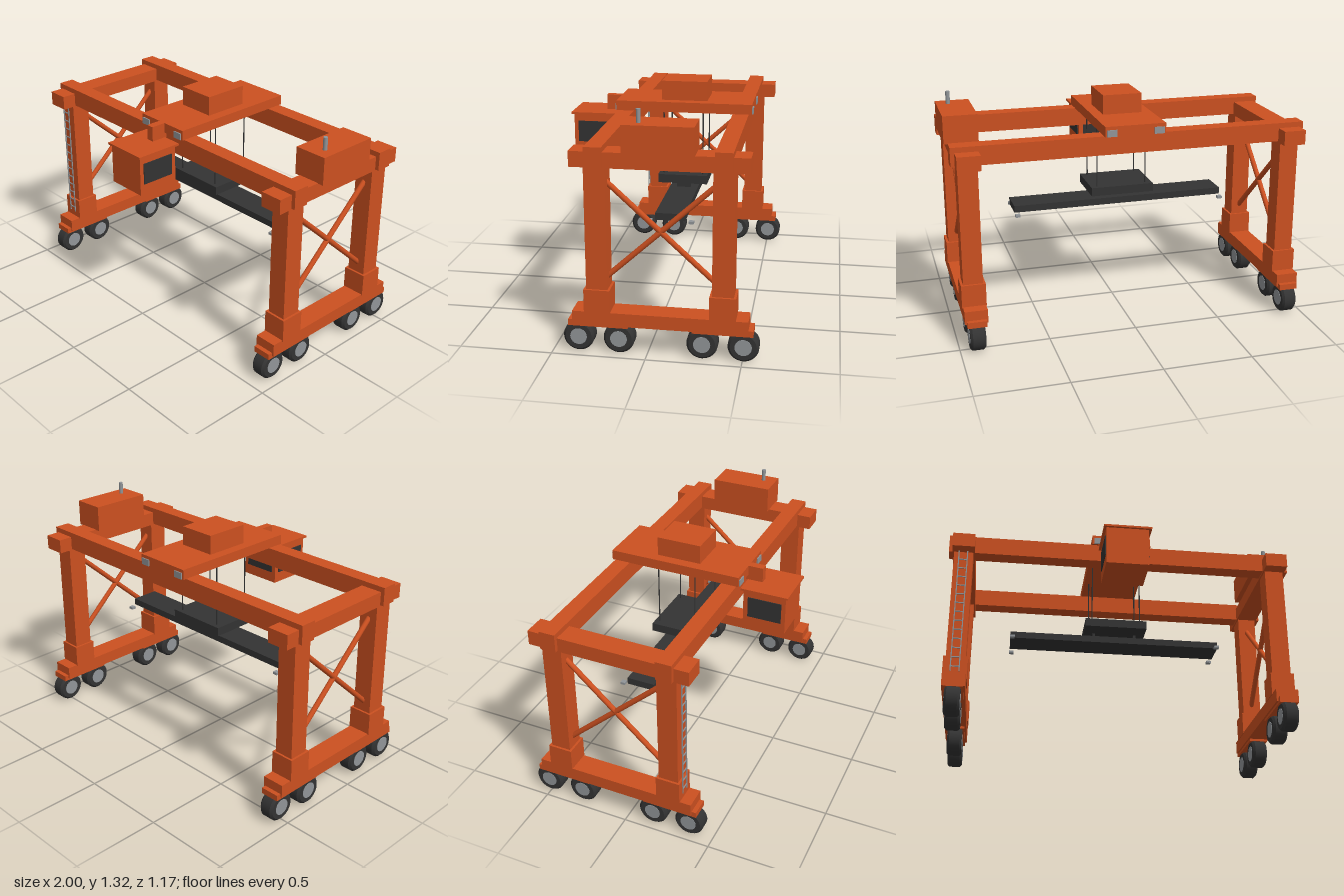
import * as THREE from 'three';

export function createModel() {
  const mat = (name, color) => {
    const m = new THREE.MeshStandardMaterial({ color });
    m.name = name;
    return m;
  };
  const orange = mat('craneOrange', 0xcc5020);
  const dark = mat('darkRubberAndSteel', 0x333333);
  const grey = mat('lightSteel', 0x919598);

  const model = new THREE.Group();
  model.name = 'gantryCrane';
  const XC = -0.005, ZC = -0.07; // centre of the portal frame

  const add = (parent, name, geo, material, x = 0, y = 0, z = 0) => {
    const mesh = new THREE.Mesh(geo, material);
    mesh.name = name;
    mesh.position.set(x, y, z);
    parent.add(mesh);
    return mesh;
  };
  // Box given by its extents on each axis
  const box = (parent, name, material, [x0, x1], [y0, y1], [z0, z1]) =>
    add(parent, name, new THREE.BoxGeometry(x1 - x0, y1 - y0, z1 - z0), material,
      (x0 + x1) / 2, (y0 + y1) / 2, (z0 + z1) / 2);
  const span = (c, w) => [c - w / 2, c + w / 2];
  // Round bar between two points
  const bar = (parent, name, material, a, b, r, sides = 10) => {
    const p = new THREE.Vector3(...a), q = new THREE.Vector3(...b);
    const mesh = add(parent, name, new THREE.CylinderGeometry(r, r, p.distanceTo(q), sides), material);
    mesh.position.copy(p).add(q).multiplyScalar(0.5);
    mesh.quaternion.setFromUnitVectors(new THREE.Vector3(0, 1, 0), q.sub(p).normalize());
    return mesh;
  };
  const group = (name) => {
    const g = new THREE.Group();
    g.name = name;
    model.add(g);
    return g;
  };

  // Tyre with bevelled shoulders; doubled points keep the edges crisp
  const tyreProfile = [[0, -0.042], [0.07, -0.042], [0.07, -0.042], [0.082, -0.03], [0.082, -0.03],
    [0.082, 0.03], [0.082, 0.03], [0.07, 0.042], [0.07, 0.042], [0, 0.042]]
    .map(([r, h]) => new THREE.Vector2(r, h));
  const tyreGeo = new THREE.LatheGeometry(tyreProfile, 32).rotateZ(Math.PI / 2);
  const hubGeo = new THREE.CylinderGeometry(0.045, 0.045, 0.088, 24).rotateZ(Math.PI / 2);

  // Two side frames: wheels, sill, legs, end beam and cross bracing
  for (const sx of [-1, 1]) {
    const side = group(sx < 0 ? 'rightSideFrame' : 'leftSideFrame');
    const x = XC + sx * 0.91;
    box(side, 'sillBeam', orange, span(x, 0.126), [0.162, 0.236], span(ZC, 0.92));
    box(side, 'endBeam', orange, span(x, 0.126), [1.016, 1.098], span(ZC, 0.91));
    for (const sz of [-1, 1]) {
      const z = ZC + sz * 0.327;
      box(side, 'leg', orange, span(x, 0.108), [0.2, 1.03], span(z, 0.112));
      box(side, 'legFoot', orange, span(x, 0.134), [0.23, 0.36], span(z, 0.137));
      box(side, 'bogie', orange, span(x, 0.106), [0.148, 0.182], span(z, 0.317));
      for (const dz of [-0.1075, 0.1075]) {
        add(side, 'tyre', tyreGeo, dark, x, 0.082, z + dz);
        add(side, 'hub', hubGeo, grey, x, 0.082, z + dz);
      }
      bar(side, 'crossBrace', orange, [x, 0.41, ZC + sz * 0.29], [x, 0.94, ZC - sz * 0.29], 0.015);
    }
  }

  // Trolley runway beams
  for (const sz of [-1, 1])
    box(model, 'runwayBeam', orange, span(XC, 1.99), [1.022, 1.127], span(ZC + sz * 0.327, 0.09));

  // Machinery house with exhaust
  box(model, 'powerHouse', orange, [0.812, 1], [1.095, 1.248], [-0.252, 0.11]);
  bar(model, 'exhaust', grey, [0.935, 1.24, 0.033], [0.935, 1.318, 0.033], 0.012, 16);

  // Ladder on the front right leg
  const ladder = group('ladder');
  for (const x of [-0.94, -0.892])
    box(ladder, 'ladderRail', grey, span(x, 0.006), [0.27, 1.02], span(0.328, 0.006));
  for (let y = 0.3; y < 1.01; y += 0.055)
    box(ladder, 'ladderRung', grey, [-0.94, -0.892], span(y, 0.006), span(0.328, 0.005));

  // Trolley with hoist house and floodlights
  const trolley = group('trolley');
  box(trolley, 'trolleyDeck', orange, [-0.176, 0.166], [1.126, 1.183], [-0.46, 0.314]);
  box(trolley, 'hoistHouse', orange, [-0.117, 0.106], [1.18, 1.293], [-0.2, 0.061]);
  box(trolley, 'cabinHanger', orange, [-0.027, 0.017], [1.095, 1.183], [0.3, 0.4]);
  for (const x of [-0.138, 0.128])
    for (const z of [-0.457, 0.311])
      box(trolley, 'floodlight', grey, span(x, 0.056), [1.127, 1.164], span(z, 0.02));

  // Operator cabin
  const cabin = group('cabin');
  box(cabin, 'cabinBody', orange, [-0.125, 0.117], [0.861, 1.09], [0.326, 0.574]);
  box(cabin, 'cabinRoof', orange, [-0.139, 0.133], [1.086, 1.098], [0.312, 0.588]);
  for (const x of [-0.126, 0.118])
    box(cabin, 'sideWindow', dark, span(x, 0.008), [0.923, 1.045], [0.354, 0.55]);
  box(cabin, 'backWindow', dark, [-0.1, 0.092], [0.923, 1.045], [0.322, 0.329]);

  // Hoist ropes and spreader
  const spreader = group('spreader');
  for (const x of [-0.147, 0.139])
    for (const z of [-0.183, 0.042])
      bar(spreader, 'hoistRope', dark, [x, 0.75, z], [x, 1.13, z], 0.0035, 8);
  box(spreader, 'headBlock', dark, [-0.187, 0.177], [0.712, 0.761], [-0.212, 0.071]);
  for (const x of [-0.127, 0.117])
    box(spreader, 'spreaderLink', dark, span(x, 0.016), [0.67, 0.715], span(ZC, 0.08));
  box(spreader, 'spreaderBeam', dark, [-0.623, 0.615], [0.636, 0.675], [-0.152, 0.011]);
  for (const x of [-0.612, 0.602])
    for (const z of [-0.184, 0.043])
      box(spreader, 'twistLock', grey, span(x, 0.027), [0.621, 0.635], span(z, 0.027));

  return model;
}
